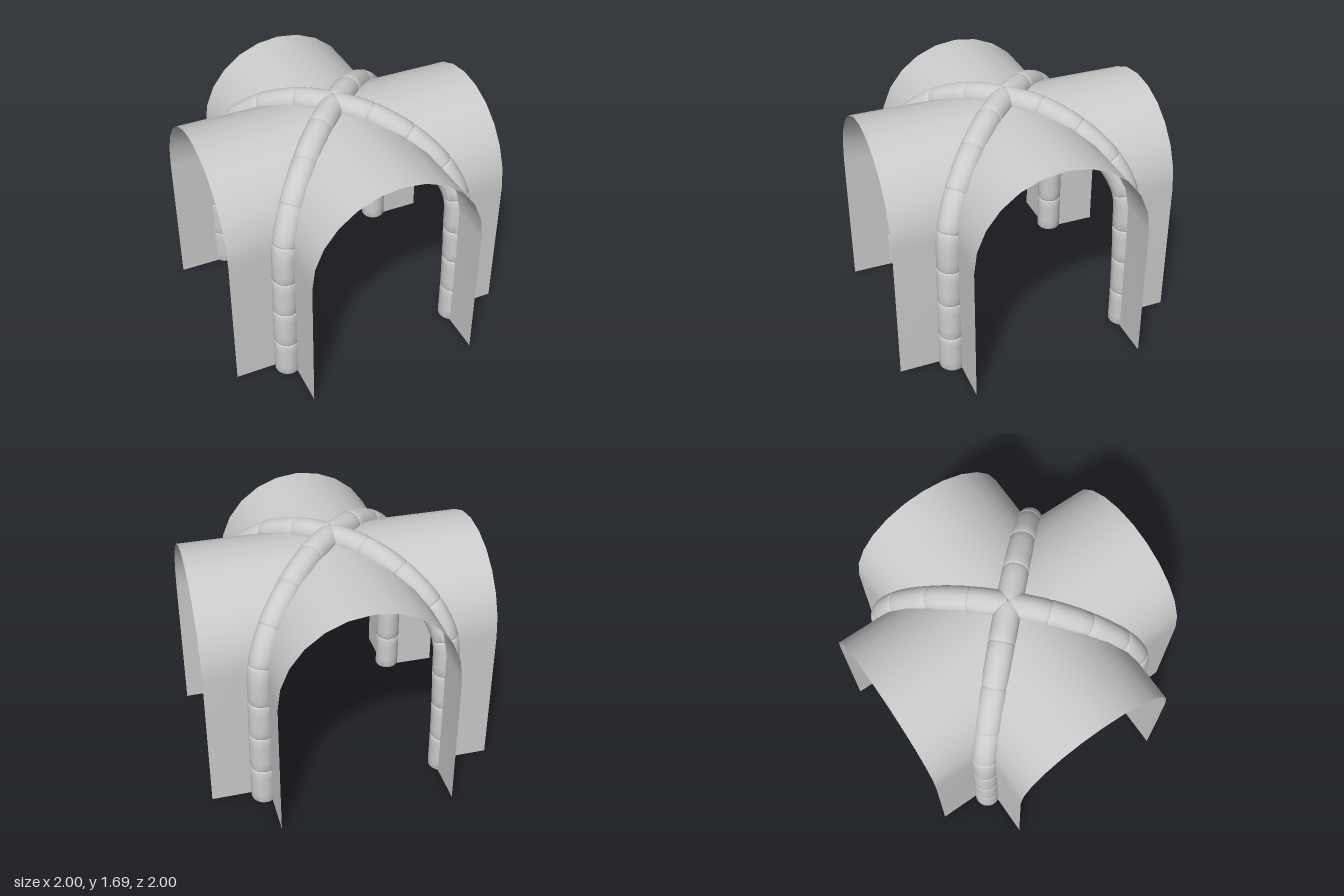
import * as THREE from 'three';
import { toCreasedNormals } from 'three/addons/utils/BufferGeometryUtils.js';

const stone = new THREE.MeshStandardMaterial({ color: 0xcccccc });
const sheet = new THREE.MeshStandardMaterial({ color: 0xcccccc, side: THREE.DoubleSide });

function buildGeometry(positions, index) {
  const geometry = new THREE.BufferGeometry();
  geometry.setAttribute('position', new THREE.Float32BufferAttribute(positions, 3));
  geometry.setIndex(index);
  return geometry;
}

// One arm of the cross vault: a barrel sheet running to +z, cut along the diagonals
function vaultArmGeometry(half = 0.6, spring = 1, reach = 1, segments = 12) {
  const profile = [[half, 0]];
  for (let i = 0; i <= segments; i++) {
    const a = (i / segments) * Math.PI;
    profile.push([half * Math.cos(a), spring + half * Math.sin(a)]);
  }
  profile.push([-half, 0]);
  const positions = [], index = [];
  profile.forEach(([x, y], i) => {
    positions.push(x, y, Math.abs(x), x, y, reach);
    if (i === 0) return;
    const a = 2 * i - 2, b = a + 1, c = a + 2, d = a + 3;
    index.push(a, c, b, b, c, d);
  });
  const geometry = buildGeometry(positions, index);
  geometry.computeVertexNormals();
  return geometry;
}

// Centre line of a rib from foot to crown, as [front offset, height] at each stone joint
const joints = [
  [0.643, 0], [0.643, 0.275], [0.64, 0.55], [0.633, 0.81], [0.619, 1.08],
  [0.53, 1.295], [0.365, 1.475], [0.18, 1.574], [0, 1.6],
];
const ribPath = new THREE.CatmullRomCurve3(
  joints.map(([x, y]) => new THREE.Vector3(x * Math.SQRT2, y, 0)));

// One rib stone: rings swept along the path, with flat ends and worn edges
function ribStoneGeometry(stoneIndex, radius = 0.089, sides = 20) {
  const rings = [[0, 0], [0, 0.93], [0.035, 1], [0.27, 1], [0.5, 1], [0.73, 1],
    [0.965, 1], [1, 0.93], [1, 0]];
  const positions = [], index = [];
  rings.forEach(([f, scale], i) => {
    const t = (stoneIndex + f) / (joints.length - 1);
    const p = ribPath.getPoint(t), tangent = ribPath.getTangent(t);
    for (let j = 0; j < sides; j++) {
      const angle = (j / sides) * Math.PI * 2;
      const out = Math.cos(angle) * radius * scale;
      positions.push(p.x + tangent.y * out, Math.max(0, p.y - tangent.x * out),
        Math.sin(angle) * radius * scale);
      if (i === 0) continue;
      const next = (j + 1) % sides;
      const a = (i - 1) * sides + j, b = (i - 1) * sides + next;
      const c = i * sides + j, d = i * sides + next;
      if (rings[i - 1][1] > 0) index.push(a, c, b);
      if (scale > 0) index.push(b, c, d);
    }
  });
  return toCreasedNormals(buildGeometry(positions, index), Math.PI / 5);
}

export function createModel() {
  const model = new THREE.Group();
  model.name = 'crossVault';
  const armGeometry = vaultArmGeometry();
  const stoneGeometries = joints.slice(1).map((_, i) => ribStoneGeometry(i));

  for (let k = 0; k < 4; k++) {
    const arm = new THREE.Mesh(armGeometry, sheet);
    arm.name = `vaultArm${k + 1}`;
    arm.rotation.y = (k * Math.PI) / 2;
    model.add(arm);

    // Diagonal rib of stacked stones under each groin
    const rib = new THREE.Group();
    rib.name = `diagonalRib${k + 1}`;
    rib.rotation.y = Math.PI / 4 + (k * Math.PI) / 2;
    stoneGeometries.forEach((geometry, i) => {
      const block = new THREE.Mesh(geometry, stone);
      block.name = `ribStone${i + 1}`;
      rib.add(block);
    });
    model.add(rib);
  }
  return model;
}
